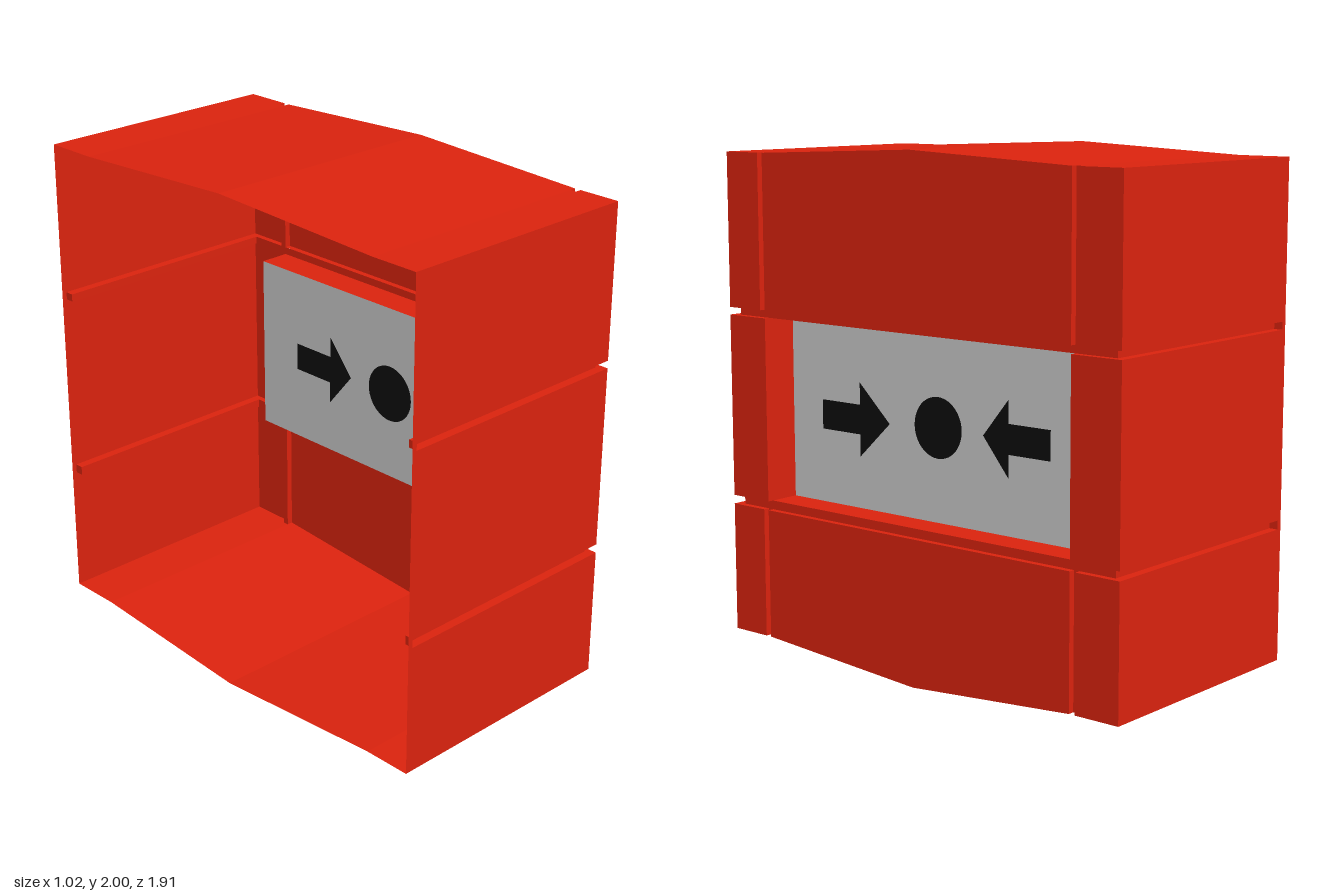
import * as THREE from 'three';

const red = new THREE.MeshStandardMaterial({ color: 0xdc230e, side: THREE.DoubleSide, flatShading: true });
const grey = new THREE.MeshStandardMaterial({ color: 0xcccccc, side: THREE.DoubleSide });
const black = new THREE.MeshStandardMaterial({ color: 0x0d0d0d, side: THREE.DoubleSide });

// main sizes: open back, front face, groove floor, recessed panel, half depth
const BACK = -0.51, FRONT = 0.51, FLOOR = 0.485, PANEL = 0.36, SIDE = 0.955;
const GROOVE_SIDE = 0.92, GROOVE_END = -0.49;
const WIN_L = 0.76, WIN_R = -0.74;
const Y = { low: 0.57, winLow: 0.605, winHigh: 1.33, high: 1.36 };

// slightly peaked top and bottom edges
const slope = z => Math.max(0, 1 - Math.abs(z) / (z > 0 ? WIN_L : -WIN_R));
const topY = z => 1.967 + 0.033 * slope(z);
const bottomY = z => 0.055 - 0.055 * slope(z);

// flat strip between two point rows of equal length
function loft(a, b) {
  const pos = [];
  const tri = new THREE.Triangle();
  const add = (p, q, r) => {
    tri.set(new THREE.Vector3(...p), new THREE.Vector3(...q), new THREE.Vector3(...r));
    if (tri.getArea() > 1e-7) pos.push(...p, ...q, ...r);
  };
  for (let i = 0; i < a.length - 1; i++) {
    add(a[i], a[i + 1], b[i + 1]);
    add(a[i], b[i + 1], b[i]);
  }
  const g = new THREE.BufferGeometry();
  g.setAttribute('position', new THREE.Float32BufferAttribute(pos, 3));
  g.computeVertexNormals();
  return g;
}

// plan path [x, z] lifted to a height or to a height rule
const lift = (path, y) => path.map(([x, z]) => [x, typeof y === 'function' ? y(z) : y, z]);
const clampToGroove = path => path.map(([x, z]) => [
  THREE.MathUtils.clamp(x, GROOVE_END, FLOOR),
  THREE.MathUtils.clamp(z, -GROOVE_SIDE, GROOVE_SIDE)]);
const toBack = path => path.map(([, z]) => [BACK, z]);

export function createModel() {
  const model = new THREE.Group();
  const add = (name, geometry, material = red, parent = model) => {
    const m = new THREE.Mesh(geometry, material);
    m.name = name;
    parent.add(m);
    return m;
  };

  // plan of the upper and lower tiers, with two vertical grooves in the front
  const tier = [
    [BACK, SIDE], [GROOVE_END, SIDE], [FRONT, SIDE],
    [FRONT, 0.785], [FLOOR, 0.785], [FLOOR, WIN_L], [FRONT, WIN_L],
    [FRONT, 0],
    [FRONT, WIN_R], [FLOOR, WIN_R], [FLOOR, -0.765], [FRONT, -0.765],
    [FRONT, -SIDE], [GROOVE_END, -SIDE], [BACK, -SIDE]];
  const ledge = tier.slice(1, -1);

  add('upperTierWalls', loft(lift(tier, Y.high), lift(tier, topY)));
  add('lowerTierWalls', loft(lift(tier, bottomY), lift(tier, Y.low)));
  add('topCover', loft(lift(tier, topY), lift(toBack(tier), topY)));
  add('bottomCover', loft(lift(toBack(tier), bottomY), lift(tier, bottomY)));
  add('upperTierLedge', loft(lift(clampToGroove(ledge), Y.high), lift(ledge, Y.high)));
  add('lowerTierLedge', loft(lift(ledge, Y.low), lift(clampToGroove(ledge), Y.low)));

  // middle tier: the walls either side of the recess, and their ledges
  const left = [[BACK, SIDE], [FRONT, SIDE], [FRONT, WIN_L], [PANEL, WIN_L]];
  const right = [[PANEL, WIN_R], [FRONT, WIN_R], [FRONT, -SIDE], [BACK, -SIDE]];
  add('middleWallLeft', loft(lift(left, Y.winLow), lift(left, Y.winHigh)));
  add('middleWallRight', loft(lift(right, Y.winLow), lift(right, Y.winHigh)));
  const leftLedge = [[GROOVE_END, SIDE], [FRONT, SIDE], [FRONT, WIN_L]];
  const rightLedge = [[FRONT, WIN_R], [FRONT, -SIDE], [GROOVE_END, -SIDE]];
  for (const [name, path] of [['Left', leftLedge], ['Right', rightLedge]]) {
    const inner = clampToGroove(path);
    add('middleTopLedge' + name, loft(lift(path, Y.winHigh), lift(inner, Y.winHigh)));
    add('middleBottomLedge' + name, loft(lift(inner, Y.winLow), lift(path, Y.winLow)));
  }

  // horizontal grooves around three sides, closed just before the open back
  const groove = [
    [BACK, SIDE], [GROOVE_END, SIDE], [GROOVE_END, GROOVE_SIDE], [FLOOR, GROOVE_SIDE],
    [FLOOR, -GROOVE_SIDE], [GROOVE_END, -GROOVE_SIDE], [GROOVE_END, -SIDE], [BACK, -SIDE]];
  add('upperGroove', loft(lift(groove, Y.winHigh), lift(groove, Y.high)));
  add('lowerGroove', loft(lift(groove, Y.low), lift(groove, Y.winLow)));

  // floor and ceiling of the recess
  const rim = [[FLOOR, WIN_L], [FLOOR, WIN_R]];
  const deep = [[PANEL, WIN_L], [PANEL, WIN_R]];
  add('recessFloor', loft(lift(rim, Y.winLow), lift(deep, Y.winLow)));
  add('recessCeiling', loft(lift(deep, Y.winHigh), lift(rim, Y.winHigh)));

  // recessed panel with inlaid arrows and dot, drawn in (-z, y)
  const sign = new THREE.Group();
  sign.name = 'signPanel';
  sign.position.x = PANEL;
  sign.rotation.y = Math.PI / 2;
  model.add(sign);

  const points = list => list.map(([u, v]) => new THREE.Vector2(u, v));
  const arrow = (tail, neck, tip, mid, halfShaft, halfHead) => points([
    [tail, mid - halfShaft], [neck, mid - halfShaft], [neck, mid - halfHead],
    [tip, mid], [neck, mid + halfHead], [neck, mid + halfShaft], [tail, mid + halfShaft]]);
  const dot = [];
  for (let i = 0; i < 40; i++) {
    const a = i / 40 * Math.PI * 2;
    dot.push(new THREE.Vector2(Math.cos(a) * 0.117, 0.967 + Math.sin(a) * 0.117));
  }
  const inlays = {
    arrowLeft: arrow(-0.6, -0.4, -0.245, 0.953, 0.058, 0.145),
    dot,
    arrowRight: arrow(0.535, 0.34, 0.22, 0.965, 0.057, 0.145)
  };
  const plate = new THREE.Shape(points([
    [-WIN_L, Y.winLow], [-WIN_R, Y.winLow], [-WIN_R, Y.winHigh], [-WIN_L, Y.winHigh]]));
  for (const [name, outline] of Object.entries(inlays)) {
    plate.holes.push(new THREE.Path(outline));
    add(name, new THREE.ShapeGeometry(new THREE.Shape(outline)), black, sign);
  }
  add('plate', new THREE.ShapeGeometry(plate), grey, sign);

  return model;
}
